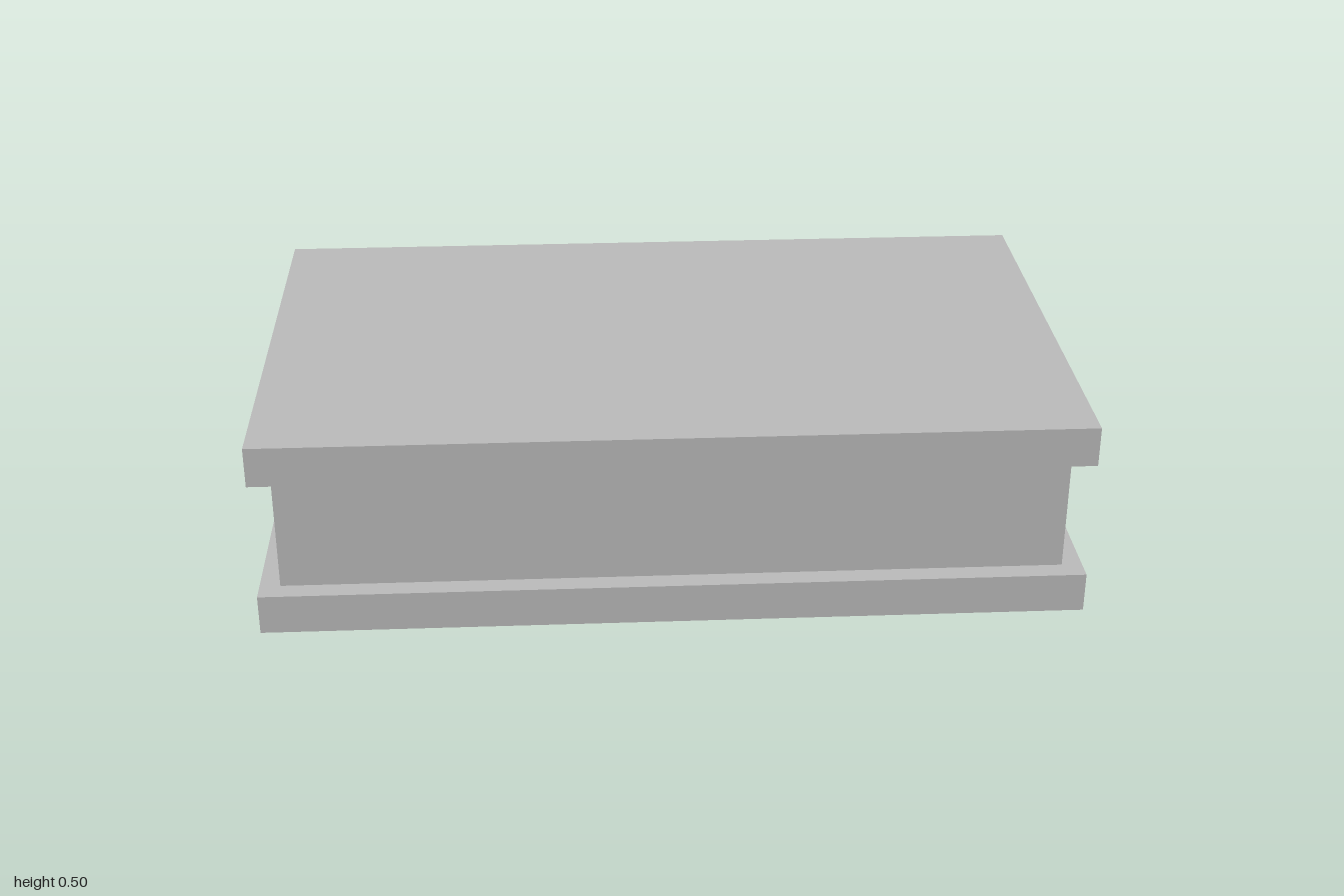
import * as THREE from 'three';

export function createModel() {
  const group = new THREE.Group();
  group.name = 'closedBook';

  const grey = new THREE.MeshStandardMaterial({ color: 0xb8b8b8 });
  grey.name = 'plainGrey';

  // Box given by its size and centre
  function addBox(name, [w, h, d], [x, y, z]) {
    const mesh = new THREE.Mesh(new THREE.BoxGeometry(w, h, d), grey);
    mesh.name = name;
    mesh.position.set(x, y, z);
    group.add(mesh);
  }

  // Two cover boards overhanging the pages
  addBox('bottomCover', [2, 0.1, 1.2], [0, 0.05, 0.025]);
  addBox('topCover', [2, 0.1, 1.2], [0, 0.45, 0.025]);

  // Page block, inset on three sides
  addBox('pages', [1.9, 0.3, 1.1], [0, 0.25, 0.025]);

  // Spine between the boards, standing out at the back
  addBox('spine', [2, 0.3, 0.1], [0, 0.25, -0.575]);

  return group;
}
